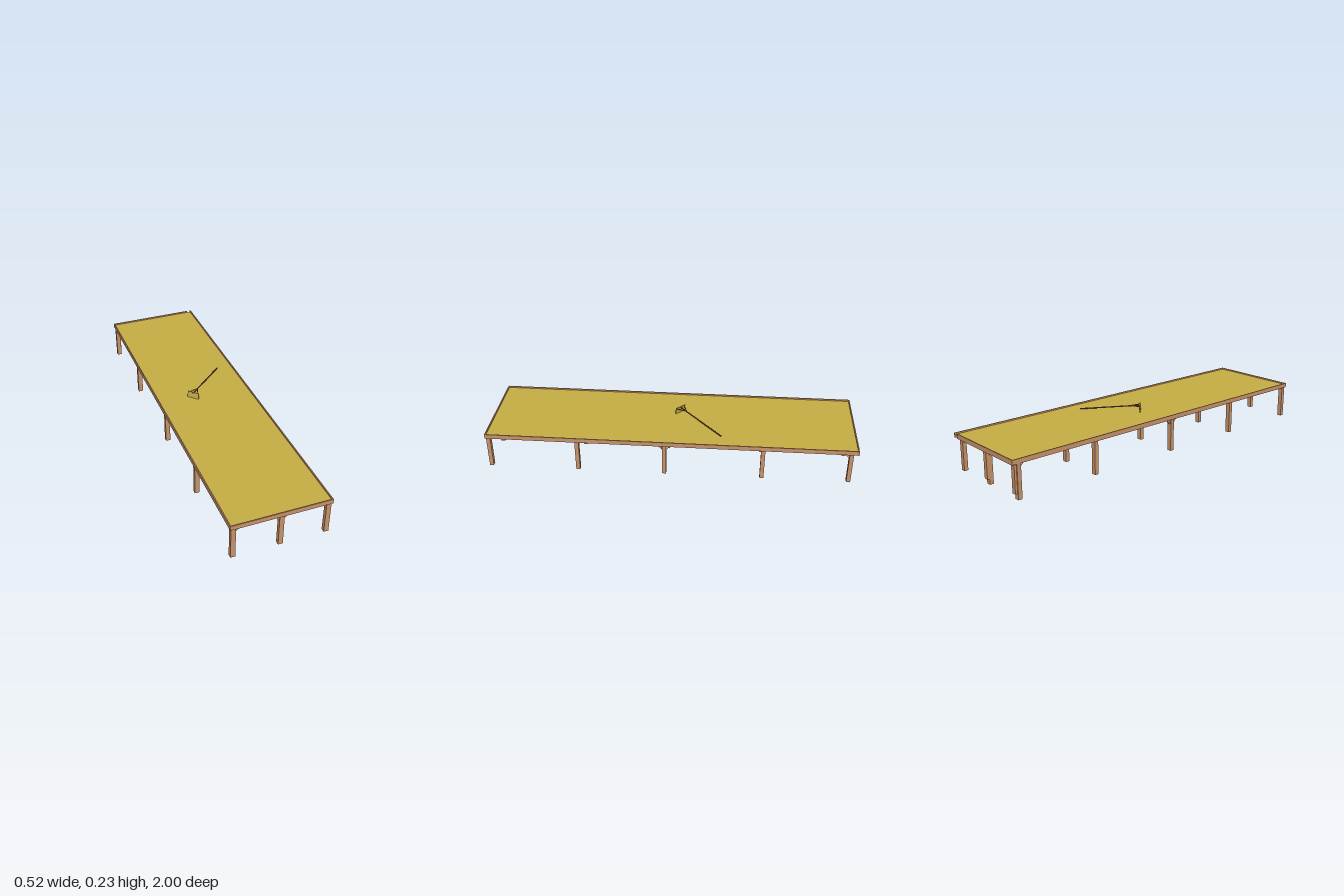
import * as THREE from 'three';

const mat = (name, color) => {
  const m = new THREE.MeshStandardMaterial({ color });
  m.name = name;
  return m;
};

export function createModel() {
  const root = new THREE.Group();
  root.name = 'dryingTable';
  const wood = mat('wood', 0xc9936a);
  const pale = mat('paleWood', 0xc9ab78);
  const matting = mat('matting', 0xc6ae45);
  const dark = mat('darkWood', 0x7a4a2c);

  const add = (name, geo, material, parent = root) => {
    const m = new THREE.Mesh(geo, material);
    m.name = name;
    parent.add(m);
    return m;
  };
  // Box given by its minimum and maximum corners
  const box = (name, a, b, material) => {
    const m = add(name, new THREE.BoxGeometry(b[0] - a[0], b[1] - a[1], b[2] - a[2]), material);
    m.position.set((a[0] + b[0]) / 2, (a[1] + b[1]) / 2, (a[2] + b[2]) / 2);
    return m;
  };

  // Flat bed, slightly below the rim
  box('bed', [-0.257, 0.193, -0.994], [0.257, 0.197, 0.994], matting);

  // Rim rails; the back rail stops short of one corner
  box('leftRail', [0.256, 0.18, -1], [0.262, 0.205, 1], wood);
  box('rightRail', [-0.263, 0.18, -1], [-0.257, 0.205, 1], wood);
  box('frontRail', [-0.257, 0.18, 0.994], [0.256, 0.205, 1], wood);
  box('backRail', [-0.257, 0.18, -1], [0.235, 0.205, -0.994], wood);

  // Bearers under the bed
  const rows = [0.983, 0.5, 0.028, -0.5, -0.963];
  const columns = [-0.244, 0, 0.243];
  box('centreBeam', [-0.006, 0.18, -0.99], [0.006, 0.193, 0.99], wood);
  for (const z of rows) box('crossBeam', [-0.256, 0.18, z - 0.006], [0.256, 0.193, z + 0.006], wood);

  // Triangular corner brace pointing along +x, turned about y
  const tri = new THREE.Shape();
  tri.moveTo(0, 0.181);
  tri.lineTo(0, 0.153);
  tri.lineTo(0.028, 0.181);
  const braceGeo = new THREE.ExtrudeGeometry(tri, { depth: 0.012, bevelEnabled: false });
  braceGeo.translate(0.012, 0, -0.006);
  const brace = (x, z, turn) => {
    const m = add('brace', braceGeo, pale);
    m.position.set(x, 0, z);
    m.rotation.y = turn;
  };

  // Legs with their braces
  rows.forEach((z, r) => {
    columns.forEach((x, c) => {
      const shift = r === 4 && c === 0 ? -0.006 : 0;
      box('leg', [x + shift - 0.0125, 0, z - 0.011], [x + shift + 0.0125, 0.181, z + 0.011], wood);
      if (c < 2) brace(x, z, 0);
      if (c > 0) brace(x, z, Math.PI);
      if (r === 2 || r === 4) brace(x, z, -Math.PI / 2);
      if (r === 2) brace(x, z, Math.PI / 2);
    });
  });
  // Doubling posts behind two back legs
  for (const x of [columns[0], 0]) {
    box('backPost', [x - 0.0125, 0.03, -0.986], [x + 0.0125, 0.181, -0.974], wood);
  }

  // Rake lying on the bed: local +x runs along the handle
  const rake = new THREE.Group();
  rake.name = 'rake';
  rake.position.set(-0.066, 0, -0.037);
  rake.rotation.y = Math.PI / 4;
  root.add(rake);
  const rod = (name, p, q, radius) => {
    const a = new THREE.Vector3(...p), b = new THREE.Vector3(...q);
    const m = add(name, new THREE.CylinderGeometry(radius, radius, a.distanceTo(b), 8), dark, rake);
    m.position.copy(a).add(b).multiplyScalar(0.5);
    m.quaternion.setFromUnitVectors(new THREE.Vector3(0, 1, 0), b.sub(a).normalize());
  };
  const board = add('rakeBoard', new THREE.BoxGeometry(0.005, 0.036, 0.066), matting, rake);
  board.position.set(0, 0.2155, 0);
  board.rotation.z = -0.08;
  rod('rakeHandle', [-0.005, 0.229, 0], [0.332, 0.203, 0], 0.0035);
  for (const s of [-1, 1]) rod('rakeStrut', [0.002, 0.228, s * 0.027], [0.05, 0.226, s * 0.002], 0.0022);

  return root;
}
